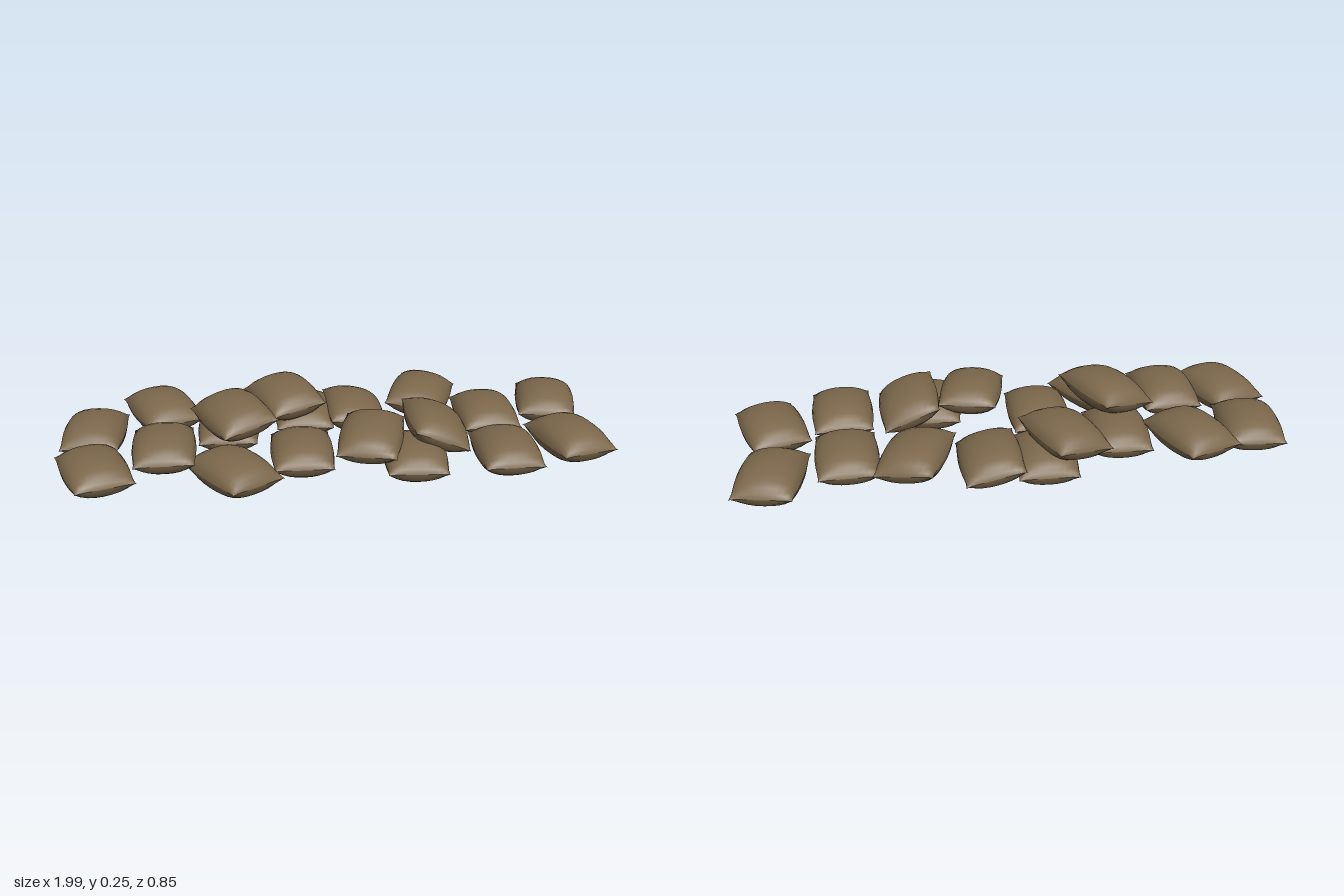
import * as THREE from 'three';
import { mergeVertices } from 'three/addons/utils/BufferGeometryUtils.js';

const HALF_W = 0.107, HALF_L = 0.15, HALF_H = 0.067;

// One half of a stuffed sack: a grid puffed up or down, closed at the seam
function sackHalf(side) {
  const geo = new THREE.PlaneGeometry(2, 2, 12, 12);
  geo.rotateX(-Math.PI / 2);
  const p = geo.attributes.position;
  for (let i = 0; i < p.count; i++) {
    // bunch the grid lines towards the seam
    const u = Math.sin(p.getX(i) * Math.PI / 2);
    const v = Math.sin(p.getZ(i) * Math.PI / 2);
    const puff = Math.sqrt(Math.max(0, (1 - Math.abs(u) ** 2.3) * (1 - Math.abs(v) ** 2.3)));
    // long sides bulge, corners pull out into small ears
    const ear = 0.06 * (Math.abs(u * v)) ** 10;
    const x = u * HALF_W * (0.93 + 0.12 * (1 - v * v) + ear);
    const z = v * HALF_L * (0.99 + 0.03 * (1 - u * u) + ear);
    p.setXYZ(i, x, side * HALF_H * puff, z);
  }
  if (side < 0) {
    // flip the winding so the lower half faces down
    const idx = geo.index.array;
    for (let i = 0; i < idx.length; i += 3) [idx[i], idx[i + 1]] = [idx[i + 1], idx[i]];
  }
  geo.deleteAttribute('uv');
  geo.deleteAttribute('normal');
  const merged = mergeVertices(geo, 1e-5);
  merged.computeVertexNormals();
  return merged;
}

// x, y, z, yaw, roll, pitch of each sack
const backRow = [
  [-0.86, 0.075, -0.14, -0.1],
  [-0.61, 0.115, -0.235, 0.34],
  [-0.37, 0.08, -0.12, -0.06],
  [-0.155, 0.15, -0.225, 0.32, 0.12],
  [-0.08, 0.072, -0.24, -0.05],
  [0.11, 0.08, -0.23, 0, -0.2],
  [0.37, 0.125, -0.245, -0.38, -0.12],
  [0.6, 0.08, -0.14, 0],
  [0.86, 0.08, -0.23, -0.22],
];
const frontRow = [
  [-0.845, 0.075, 0.175, 0.3],
  [-0.605, 0.115, 0.105, 0],
  [-0.37, 0.073, 0.23, 0.55],
  [-0.12, 0.07, 0.1, -0.03],
  [0.12, 0.145, 0.16, -0.25, 0, 0.08],
  [0.27, 0.08, 0.2, -0.08],
  [0.36, 0.15, 0.1, 0, -0.38],
  [0.6, 0.08, 0.19, 0],
  [0.855, 0.08, 0.115, 0.24],
];
const topRow = [[-0.355, 0.188, 0.01, 0.38, 0.16]];

export function createModel() {
  const model = new THREE.Group();
  model.name = 'sandbagPile';
  const burlap = new THREE.MeshStandardMaterial({ color: 0x7b674b });
  burlap.name = 'brown burlap';
  const upper = sackHalf(1), lower = sackHalf(-1);

  const addRow = (name, rows) => {
    const row = new THREE.Group();
    row.name = name;
    rows.forEach(([x, y, z, yaw, roll = 0, pitch = 0]) => {
      const bag = new THREE.Group();
      bag.name = 'sandbag';
      const top = new THREE.Mesh(upper, burlap);
      top.name = 'sandbagUpperHalf';
      const bottom = new THREE.Mesh(lower, burlap);
      bottom.name = 'sandbagLowerHalf';
      bag.add(top, bottom);
      bag.position.set(x, y, z);
      bag.rotation.set(pitch, yaw, roll, 'YXZ');
      row.add(bag);
    });
    model.add(row);
  };
  addRow('backRow', backRow);
  addRow('frontRow', frontRow);
  addRow('topSandbag', topRow);
  return model;
}
